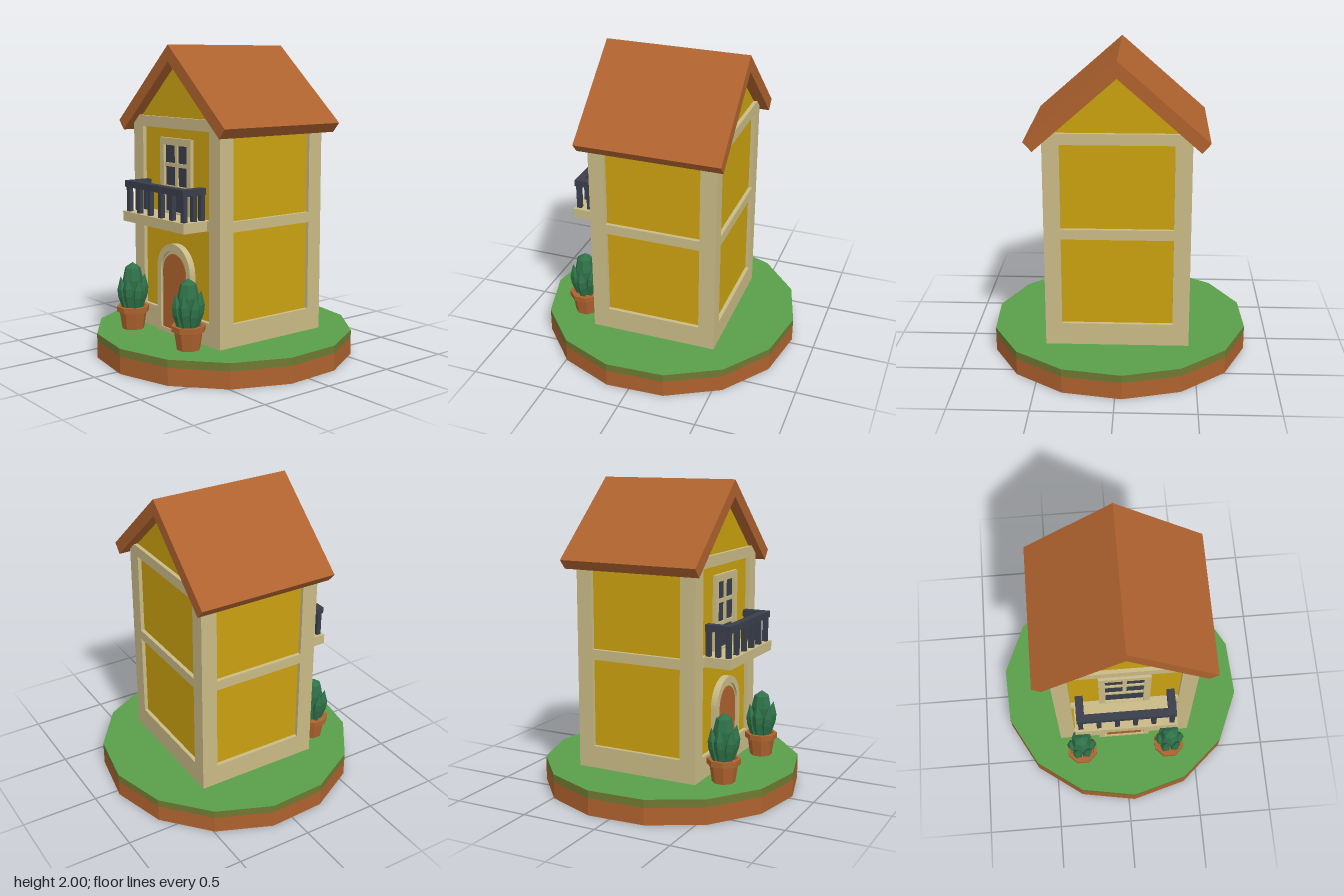
import * as THREE from 'three';

const mat = (name, color) => new THREE.MeshStandardMaterial({ name, color, flatShading: true });

export function createModel() {
  const yellow = mat('yellow plaster', 0xcaa110);
  const cream = mat('cream stone', 0xc9ba86);
  const terracotta = mat('terracotta', 0xae622e);
  const grass = mat('grass green', 0x5a9f4a);
  const turf = mat('olive turf edge', 0x6f7832);
  const navy = mat('dark slate', 0x393e4b);
  const leaf = mat('leaf green', 0x2f7249);

  const model = new THREE.Group();
  model.name = 'townhouse';

  const add = (name, geometry, material, x = 0, y = 0, z = 0, parent = model) => {
    const mesh = new THREE.Mesh(geometry, material);
    mesh.name = name;
    mesh.position.set(x, y, z);
    parent.add(mesh);
    return mesh;
  };
  // Box given by its lower and upper limits on each axis
  const box = (name, material, x0, x1, y0, y1, z0, z1, parent = model) =>
    add(name, new THREE.BoxGeometry(x1 - x0, y1 - y0, z1 - z0), material,
      (x0 + x1) / 2, (y0 + y1) / 2, (z0 + z1) / 2, parent);
  const polygon = (pts) => new THREE.Shape(pts.map(([x, y]) => new THREE.Vector2(x, y)));
  const extrude = (shape, depth) =>
    new THREE.ExtrudeGeometry(shape, { depth, bevelEnabled: false, curveSegments: 12 });

  // Round fourteen-sided ground
  const disc = (h) => new THREE.CylinderGeometry(0.845, 0.845, h, 14, 1, false, 0.05);
  add('groundBase', disc(0.11), terracotta, 0, 0.055, 0);
  add('lawn', disc(0.05), [turf, grass, terracotta], 0, 0.135, 0);

  // Plaster body with gables, set back inside the stone framing
  const body = polygon([[-0.43, 0.16], [0.43, 0.16], [0.43, 1.56], [0, 1.93], [-0.43, 1.56]]);
  add('walls', extrude(body, 0.78), yellow, 0, 0, -0.415);

  // Stone framing: corner posts and three bands around the house
  for (const s of [-1, 1]) {
    const [x0, x1] = s < 0 ? [-0.455, -0.35] : [0.35, 0.455];
    box('frontCornerPost', cream, x0, x1, 0.16, 1.55, 0.285, 0.39);
    box('backCornerPost', cream, x0, x1, 0.16, 1.55, -0.44, -0.335);
  }
  for (const [y0, y1] of [[0.16, 0.305], [0.875, 0.94], [1.48, 1.55]])
    box('stoneBand', cream, -0.455, 0.455, y0, y1, -0.44, 0.39);

  // Gabled roof
  const roof = polygon([[0, 2], [-0.56, 1.51], [-0.507, 1.45], [0, 1.895], [0.507, 1.45], [0.56, 1.51]]);
  add('roof', extrude(roof, 0.93), terracotta, 0, 0, -0.493);

  // Arched door with surround, threshold and knob
  const arch = (r, y0, yc, Type = THREE.Shape) => {
    const s = new Type();
    s.moveTo(-r, y0);
    s.lineTo(r, y0);
    s.lineTo(r, yc);
    s.absarc(0, yc, r, 0, Math.PI, false);
    s.lineTo(-r, y0);
    return s;
  };
  const surround = arch(0.177, 0.16, 0.573);
  surround.holes.push(arch(0.138, 0.19, 0.567, THREE.Path));
  add('doorSurround', extrude(surround, 0.05), cream, 0, 0, 0.358);
  add('doorReveal', extrude(arch(0.14, 0.165, 0.567), 0.034), cream, 0, 0, 0.36);
  add('door', extrude(arch(0.122, 0.19, 0.562), 0.04), terracotta, 0, 0, 0.36);
  add('doorKnob', new THREE.SphereGeometry(0.02, 8, 6), yellow, 0.05, 0.38, 0.408);

  // Balcony window
  const rect = (x0, x1, y0, y1) => [[x0, y0], [x1, y0], [x1, y1], [x0, y1]];
  const frame = polygon(rect(-0.163, 0.163, 0.94, 1.42));
  frame.holes.push(polygon(rect(-0.122, 0.122, 0.95, 1.375)));
  add('windowFrame', extrude(frame, 0.028), cream, 0, 0, 0.36);
  box('windowGlass', navy, -0.122, 0.122, 0.945, 1.38, 0.362, 0.369);
  box('windowMullion', cream, -0.013, 0.013, 1.1, 1.38, 0.362, 0.38);
  for (const y of [1.25, 1.105])
    box('windowBar', cream, -0.122, 0.122, y - 0.012, y + 0.012, 0.362, 0.38);

  // Balcony slab and railing
  box('balconySlab', cream, -0.33, 0.33, 0.877, 0.94, 0.38, 0.565);
  const railing = new THREE.Group();
  railing.name = 'balconyRailing';
  model.add(railing);
  box('frontRail', navy, -0.315, 0.315, 1.098, 1.14, 0.508, 0.557, railing);
  const baluster = (x, z) => box('baluster', navy, x - 0.015, x + 0.015, 0.94, 1.1, z - 0.015, z + 0.015, railing);
  for (let i = 0; i < 6; i++) baluster(-0.293 + i * 0.1172, 0.535);
  for (const s of [-1, 1]) {
    box('sideRail', navy, s * 0.29 - 0.025, s * 0.29 + 0.025, 1.098, 1.14, 0.385, 0.51, railing);
    for (const z of [0.465, 0.402]) baluster(s * 0.293, z);
  }

  // Potted plants on both sides of the door
  const lathe = (pts, sides) =>
    new THREE.LatheGeometry(pts.map(([r, y]) => new THREE.Vector2(r, y)), sides);
  const pot = lathe([[0, 0], [0.073, 0], [0.09, 0.115], [0.107, 0.115], [0.107, 0.15], [0.085, 0.15], [0.08, 0.13], [0, 0.13]], 8);
  const heart = lathe([[0.035, 0], [0.062, 0.12], [0.068, 0.2], [0.05, 0.28], [0, 0.315]], 7);
  const blade = lathe([[0.018, 0], [0.036, 0.09], [0.034, 0.14], [0, 0.225]], 5);
  for (const s of [-1, 1]) {
    const plant = new THREE.Group();
    plant.name = s < 0 ? 'rightPottedPlant' : 'leftPottedPlant';
    plant.position.set(s * 0.305, 0.16, 0.515);
    model.add(plant);
    add('pot', pot, terracotta, 0, 0, 0, plant).rotation.y = Math.PI / 8;
    add('plantHeart', heart, leaf, 0, 0.125, 0, plant);
    for (let i = 0; i < 6; i++) {
      const ring = new THREE.Group();
      ring.name = 'leafHolder';
      ring.rotation.y = (i + 0.5) * Math.PI / 3;
      plant.add(ring);
      const y = i % 2 ? 0.125 : 0.14;
      add('leafBlade', blade, leaf, 0, y, 0.048, ring).rotation.x = 0.14;
    }
  }
  return model;
}
